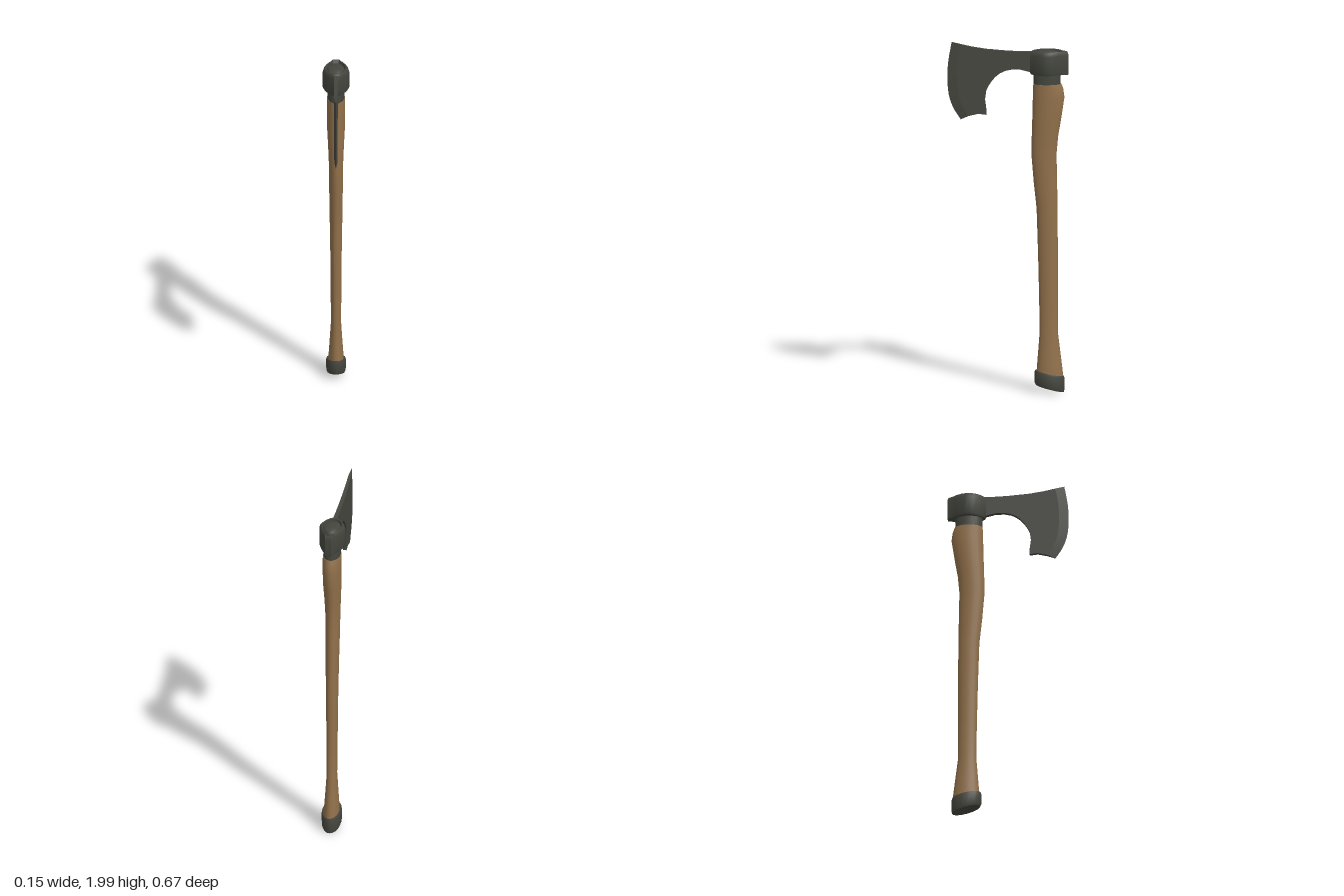
import * as THREE from 'three';
import { toCreasedNormals } from 'three/addons/utils/BufferGeometryUtils.js';

// Skin a closed surface over rings of [x, y, z] points, capped at both ends
function loft(rings, crease = 0.7) {
  const n = rings[0].length;
  const pos = rings.flat(2);
  const index = [];
  for (let r = 0; r < rings.length - 1; r++) {
    for (let i = 0; i < n; i++) {
      const a = r * n + i, b = r * n + (i + 1) % n;
      index.push(a, b, b + n, a, b + n, a + n);
    }
  }
  const last = (rings.length - 1) * n;
  for (let i = 1; i < n - 1; i++) {
    index.push(0, i + 1, i);
    index.push(last, last + i, last + i + 1);
  }
  const geo = new THREE.BufferGeometry();
  geo.setAttribute('position', new THREE.Float32BufferAttribute(pos, 3));
  geo.setIndex(index);
  return toCreasedNormals(geo, crease);
}

// Elliptical ring; slope tilts it along z
function oval(y, zc, rx, rz, slope = 0, n = 20) {
  return Array.from({ length: n }, (_, i) => {
    const a = (i / n) * Math.PI * 2;
    const dz = Math.cos(a) * rz;
    return [Math.sin(a) * rx, y + slope * dz, zc + dz];
  });
}

export function createModel() {
  const group = new THREE.Group();
  const wood = new THREE.MeshStandardMaterial({ color: 0x92714b });
  wood.name = 'wood';
  const iron = new THREE.MeshStandardMaterial({ color: 0x44463e });
  iron.name = 'dark iron';
  const add = (name, geo, mat) => {
    const mesh = new THREE.Mesh(geo, mat);
    mesh.name = name;
    group.add(mesh);
  };

  // Curved wooden handle: y, front z, back z, half width
  const handle = [
    [0.08, -0.157, -0.309, 0.044], [0.13, -0.16, -0.305, 0.042],
    [0.22, -0.167, -0.294, 0.036], [0.35, -0.177, -0.278, 0.028],
    [0.55, -0.174, -0.278, 0.03], [0.8, -0.168, -0.278, 0.032],
    [1.05, -0.16, -0.277, 0.036], [1.2, -0.144, -0.274, 0.038],
    [1.36, -0.131, -0.271, 0.04], [1.46, -0.133, -0.28, 0.044],
    [1.56, -0.136, -0.297, 0.049], [1.68, -0.139, -0.315, 0.051],
    [1.73, -0.14, -0.308, 0.051], [1.757, -0.142, -0.298, 0.05],
  ];
  add('handle', loft(handle.map(([y, f, b, rx]) => oval(y, (f + b) / 2, rx, (f - b) / 2))), wood);

  // Slanted end cap with a bevelled bottom
  add('pommel', loft([
    oval(0.034, -0.235, 0.04, 0.064, 0.27),
    oval(0.03, -0.233, 0.049, 0.078, 0.27),
    oval(0.043, -0.232, 0.054, 0.083, 0.26),
    oval(0.108, -0.232, 0.055, 0.083, 0.22),
    oval(0.117, -0.232, 0.052, 0.08, 0.22),
    oval(0.115, -0.232, 0.042, 0.066, 0.22),
  ], 0.6), iron);

  // Collar running up through the head, ending in a low dome
  const zc = -0.222;
  add('collar', loft([
    oval(1.745, -0.219, 0.047, 0.075),
    oval(1.83, -0.219, 0.047, 0.075),
    oval(1.925, zc, 0.049, 0.07),
    oval(1.937, zc, 0.044, 0.062),
    oval(1.944, zc, 0.028, 0.04),
    oval(1.946, zc, 0.01, 0.014),
  ]), iron);

  // Head socket: diamond-like outline with a flat poll and an oval eye
  const half = [
    [0.012, -0.122], [0.03, -0.14], [0.05, -0.165], [0.066, -0.19], [0.074, -0.215],
    [0.068, -0.24], [0.058, -0.265], [0.042, -0.295], [0.028, -0.312], [0.018, -0.337],
  ];
  const outline = [...half, ...half.map(([x, z]) => [-x, z]).reverse()];
  // k slides the outline from the outer wall (0) to the eye (1)
  const socketRing = (y, k) => outline.map(([x, z]) => {
    const a = Math.atan2(x / 0.05, (z - zc) / 0.072);
    const poll = Math.max(0, (-z - 0.29) / 0.05);
    const kk = k < 1 ? k * (1 - 0.8 * poll) : 1;
    return [
      THREE.MathUtils.lerp(x, Math.sin(a) * 0.05, kk),
      y - 0.01 * poll * (y > 1.9 ? 1 : 0.4),
      THREE.MathUtils.lerp(z, zc + Math.cos(a) * 0.072, kk),
    ];
  });
  add('socket', loft([
    socketRing(1.812, 0.6), socketRing(1.812, 0.25), socketRing(1.825, 0),
    socketRing(1.92, 0), socketRing(1.938, 0.2), socketRing(1.945, 0.55),
    socketRing(1.943, 0.9), socketRing(1.915, 1),
  ]), iron);

  // Bearded blade: outer edge and the start of its bevel as [z, y] curves
  const curve = (pts) => new THREE.SplineCurve(pts.map((p) => new THREE.Vector2(...p))).getPoints(15);
  const edge = curve([[0.312, 2], [0.33, 1.9], [0.336, 1.81], [0.33, 1.71], [0.305, 1.63], [0.262, 1.56]]);
  const inner = curve([[0.262, 1.986], [0.278, 1.9], [0.283, 1.81], [0.277, 1.71], [0.255, 1.64], [0.222, 1.579]]);
  const thickness = (z) => 0.0122 - 0.0095 * (z + 0.13);

  const top = [[-0.148, 1.939], [-0.07, 1.941], [0, 1.945], [0.12, 1.957], [0.2, 1.971]];
  const beard = [
    [0.165, 1.592], [0.12, 1.586], [0.12, 1.62], [0.127, 1.676], [0.12, 1.725], [0.108, 1.75],
    [0.09, 1.777], [0.07, 1.8], [0.045, 1.82], [0.015, 1.834], [-0.02, 1.841], [-0.07, 1.84],
    [-0.115, 1.828], [-0.148, 1.82],
  ];
  const toVec = (p) => new THREE.Vector2(...p);
  const shape = new THREE.Shape([...top.map(toVec), ...inner, ...beard.map(toVec)]);
  const blade = new THREE.ExtrudeGeometry(shape, { depth: 1, bevelEnabled: false });
  blade.translate(0, 0, -0.5).rotateY(-Math.PI / 2);
  const p = blade.attributes.position;
  for (let i = 0; i < p.count; i++) p.setX(i, Math.sign(p.getX(i)) * thickness(p.getZ(i)));
  add('blade', toCreasedNormals(blade, 0.6), iron);

  // Sharpened wedge along the cutting edge
  add('cuttingEdge', loft(inner.map((v, i) => {
    const t = thickness(v.x);
    return [[t, v.y, v.x], [0, edge[i].y, edge[i].x], [-t, v.y, v.x]];
  }), 0.15), iron);

  return group;
}
